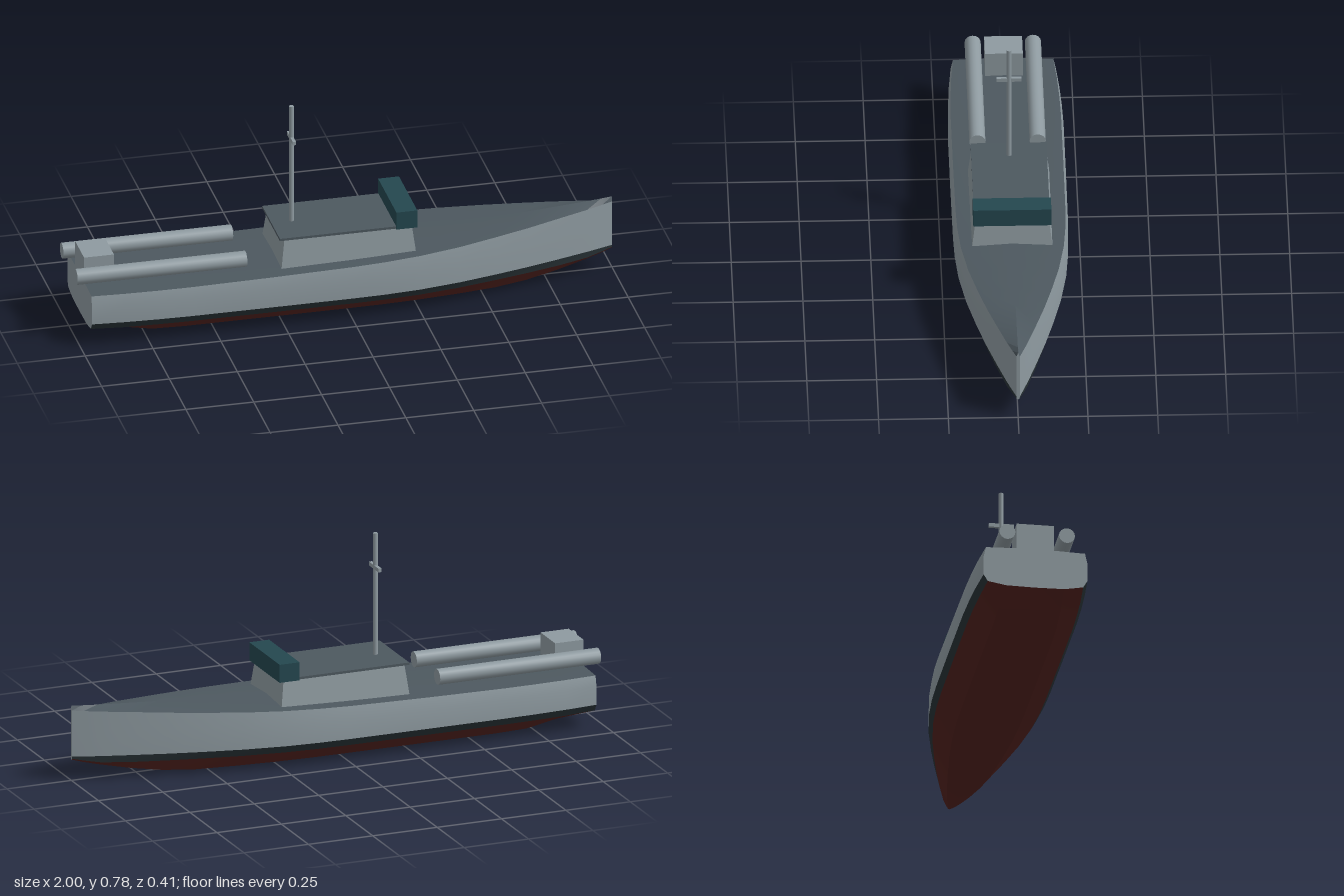
import * as THREE from 'three';
import { toCreasedNormals } from 'three/addons/utils/BufferGeometryUtils.js';

const mat = (color, side = THREE.FrontSide) => new THREE.MeshStandardMaterial({ color, side });
const GREY = mat(0x8e9aa0, THREE.DoubleSide), DECK = mat(0x4d585f, THREE.DoubleSide);
const RED = mat(0x55231f, THREE.DoubleSide), DARK = mat(0x283236, THREE.DoubleSide);
const TEAL = mat(0x24474f);

// Hull stations from stern to bow: x, half-width, keel height, deck edge height, deck centre height
const STATIONS = [
  [-0.96, 0.188, 0.055, 0.202, 0.208], [-0.84, 0.198, 0.03, 0.203, 0.209],
  [-0.72, 0.204, 0.006, 0.204, 0.21], [-0.6, 0.207, 0.003, 0.205, 0.212],
  [-0.3, 0.207, 0.003, 0.209, 0.217], [0, 0.206, 0.003, 0.215, 0.225],
  [0.12, 0.203, 0.003, 0.219, 0.229], [0.25, 0.193, 0.003, 0.224, 0.235],
  [0.4, 0.17, 0.003, 0.231, 0.243], [0.55, 0.137, 0.003, 0.24, 0.252],
  [0.67, 0.107, 0.012, 0.247, 0.26], [0.79, 0.073, 0.032, 0.255, 0.268],
  [0.9, 0.04, 0.056, 0.261, 0.276], [0.96, 0.02, 0.07, 0.265, 0.281],
  [1, 0.006, 0.082, 0.268, 0.285],
];
const WATERLINE = 0.094;

// Half-section corners [z, y] from keel to deck edge
function halfSection([, w, keel, edge]) {
  const chine = Math.max(0.066, keel + 0.35 * (WATERLINE - keel));
  return [
    [0, keel], [0.56 * w, keel + 0.12 * (chine - keel)], [0.92 * w, chine],
    [w, WATERLINE], [w, 0.165], [0.955 * w, edge],
  ];
}

const mirrored = (pts) => pts.map(([z, y]) => [-z, y]).reverse();

// Skin a strip through one polyline per station
function loft(section) {
  const rows = STATIONS.map(section), n = rows[0].length;
  const pos = [], idx = [];
  rows.forEach((row, i) => row.forEach(([z, y]) => pos.push(STATIONS[i][0], y, z)));
  for (let i = 0; i < rows.length - 1; i++) {
    for (let j = 0; j < n - 1; j++) {
      const a = i * n + j, b = a + n;
      idx.push(a, b, b + 1, a, b + 1, a + 1);
    }
  }
  return finish(pos, idx);
}

// Close one end of the hull with a fan
function endCap(station, flip) {
  const half = halfSection(station);
  const ring = [...mirrored(half.slice(1)), ...half, [0, station[4]]];
  const pos = [], idx = [];
  ring.forEach(([z, y]) => pos.push(station[0], y, z));
  for (let i = 0; i < ring.length - 2; i++) {
    const last = ring.length - 1;
    idx.push(...(flip ? [last, i + 1, i] : [last, i, i + 1]));
  }
  return finish(pos, idx);
}

function finish(pos, idx) {
  const g = new THREE.BufferGeometry();
  g.setAttribute('position', new THREE.Float32BufferAttribute(pos, 3));
  g.setIndex(idx);
  return toCreasedNormals(g, 0.3);
}

export function createModel() {
  const model = new THREE.Group();
  const add = (name, geometry, material, x = 0, y = 0, z = 0) => {
    const mesh = new THREE.Mesh(geometry, material);
    mesh.name = name;
    mesh.position.set(x, y, z);
    model.add(mesh);
    return mesh;
  };
  const box = (name, material, [x0, x1], [y0, y1], halfZ) =>
    add(name, new THREE.BoxGeometry(x1 - x0, y1 - y0, 2 * halfZ), material, (x0 + x1) / 2, (y0 + y1) / 2, 0);

  // Hull skin
  add('hullBottom', loft((s) => {
    const h = halfSection(s).slice(0, 3);
    return [...mirrored(h.slice(1)), ...h];
  }), RED);
  for (const [side, name] of [[1, 'left'], [-1, 'right']]) {
    const pick = (a, b) => (s) => {
      const h = halfSection(s).slice(a, b);
      return side > 0 ? h : mirrored(h);
    };
    add(name + 'WaterlineBand', loft(pick(2, 4)), DARK);
    add(name + 'HullSide', loft(pick(3, 6)), GREY);
  }
  add('deck', loft((s) => {
    const [z, y] = halfSection(s)[5];
    return [[z, y], [0, s[4]], [-z, y]];
  }), DECK);
  add('transom', endCap(STATIONS[0], false), GREY);
  add('stem', endCap(STATIONS[STATIONS.length - 1], true), GREY);

  // Deckhouse with walls leaning inward
  const house = new THREE.BoxGeometry(0.5, 0.12, 0.294);
  const p = house.attributes.position;
  for (let i = 0; i < p.count; i++) {
    if (p.getY(i) > 0) p.setXYZ(i, p.getX(i) * 0.94, p.getY(i), p.getZ(i) * 0.9);
  }
  house.computeVertexNormals();
  add('deckhouse', house, GREY, -0.003, 0.26, 0);
  box('deckhouseRoof', DECK, [-0.255, 0.235], [0.319, 0.328], 0.136);
  box('bridgeWindows', TEAL, [0.173, 0.25], [0.317, 0.385], 0.14);

  // Mast and yard
  add('mast', new THREE.CylinderGeometry(0.009, 0.009, 0.465, 12), GREY, -0.18, 0.5525, 0);
  box('yard', GREY, [-0.186, -0.174], [0.65, 0.664], 0.045);

  // Long tubes on either side of the aft deck
  for (const side of [1, -1]) {
    const tube = toCreasedNormals(new THREE.CylinderGeometry(0.029, 0.029, 0.625, 16), 0.6);
    const mesh = add(side > 0 ? 'leftTube' : 'rightTube', tube, GREY, -0.6875, 0.25, side * 0.108);
    mesh.rotation.z = Math.PI / 2;
  }

  // Locker at the stern
  box('sternLocker', GREY, [-0.96, -0.85], [0.2, 0.303], 0.068);

  return model;
}
